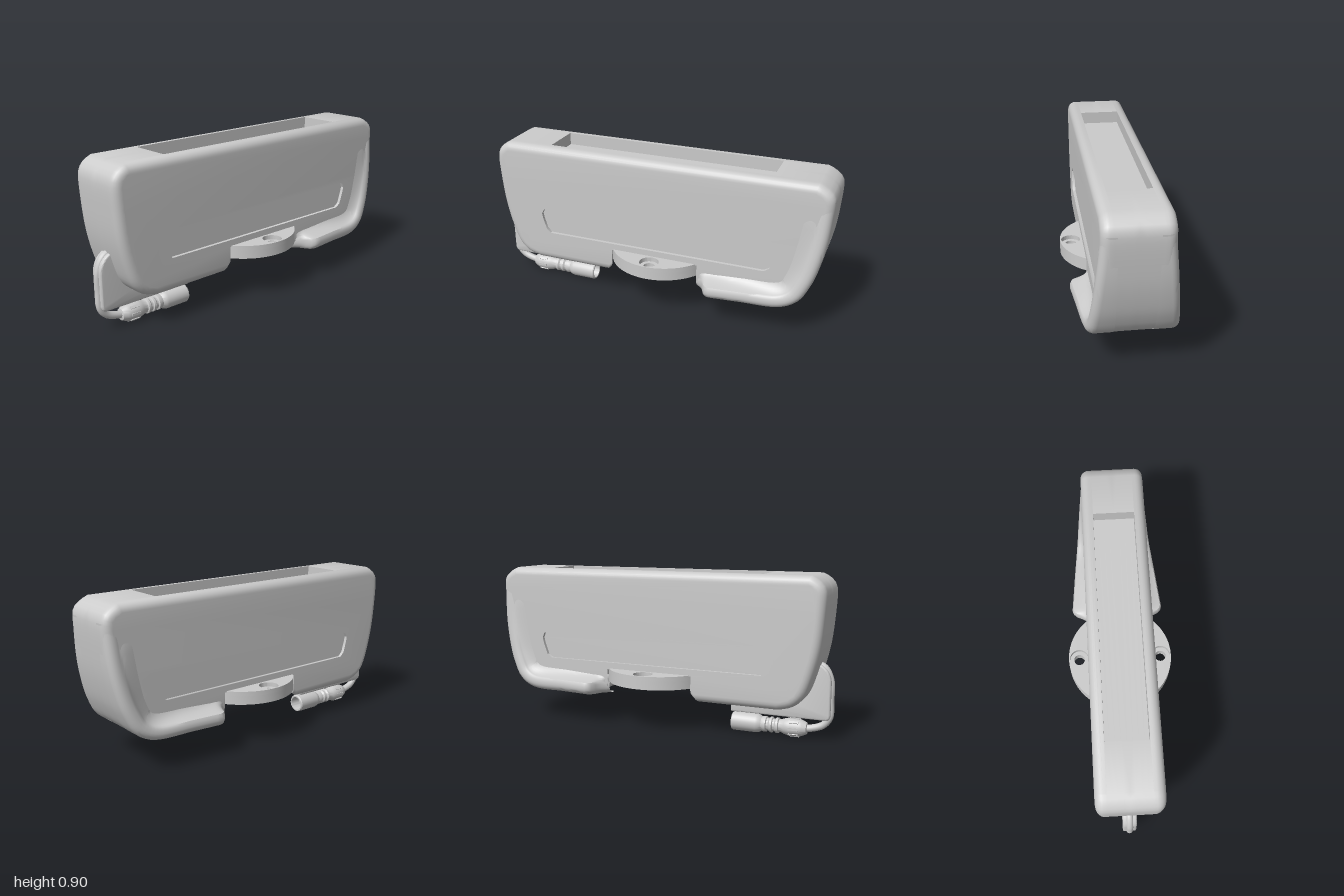
import * as THREE from 'three';
import { toCreasedNormals } from 'three/addons/utils/BufferGeometryUtils.js';

const material = new THREE.MeshStandardMaterial({ color: 0xcccccc, side: THREE.DoubleSide });
const V = (x, y) => new THREE.Vector2(x, y);
const curve = (pts, n) => new THREE.SplineCurve(pts.map(p => V(...p))).getSpacedPoints(n);
const HALF = 0.178, EDGE = 0.045, POCKET = 0.115, MOUNT_Z = -0.02;

// Joins rings of [x, y, z] points into triangles
function loft(out, rings, closed = true) {
  for (let r = 0; r < rings.length - 1; r++) {
    const a = rings[r], b = rings[r + 1], n = a.length;
    for (let i = 0; i < (closed ? n : n - 1); i++) {
      const j = (i + 1) % n;
      out.push(...a[i], ...a[j], ...b[i], ...a[j], ...b[j], ...b[i]);
    }
  }
}

// Fills a (z, y) outline at a constant x, facing +x or -x
function face(out, x, outline, holes = [], dir = 1) {
  const all = [outline, ...holes].flat();
  for (const [a, b, c] of THREE.ShapeUtils.triangulateShape(outline, holes)) {
    const A = all[a], B = all[b], C = all[c];
    const cross = (B.x - A.x) * (C.y - A.y) - (B.y - A.y) * (C.x - A.x);
    for (const p of cross * dir < 0 ? [A, B, C] : [A, C, B]) out.push(x, p.y, p.x);
  }
}

function soupMesh(name, out, crease = 0.6) {
  const g = new THREE.BufferGeometry();
  g.setAttribute('position', new THREE.Float32BufferAttribute(out, 3));
  return mesh(name, toCreasedNormals(g, crease));
}

function mesh(name, geometry) {
  const m = new THREE.Mesh(geometry, material);
  m.name = name;
  return m;
}

const backCurve = [[-0.91, 0.9], [-0.965, 0.87], [-1, 0.81], [-0.985, 0.6], [-0.958, 0.45],
  [-0.92, 0.33], [-0.86, 0.23], [-0.75, 0.18]];
const frontCurve = [[0.73, 0.18], [0.81, 0.203], [0.87, 0.26], [0.91, 0.36], [0.945, 0.5],
  [0.963, 0.65], [0.97, 0.81], [0.94, 0.87], [0.89, 0.9]];
const backPts = curve(backCurve, 30), frontPts = curve(frontCurve, 30);

// Side outline of the housing at a given x, with the round cut for the mount
function outline(x, inset = 0, pocket = false) {
  const h = Math.sqrt(0.315 ** 2 - x * x), c = MOUNT_Z;
  const notch = [V(c - h - 0.02, 0.18), V(c - h, 0.2), V(c - h, 0.325),
    V(c + h, 0.325), V(c + h, 0.2), V(c + h + 0.02, 0.18)];
  const top = pocket ? [V(0.63, 0.9), V(0.63, 0.83), V(-0.67, 0.83), V(-0.67, 0.9)] : [];
  const pts = [...top, ...backPts, ...notch, ...frontPts];
  if (!inset) return pts;
  return pts.map((p, i) => {
    const n = pts.length;
    const t = p.clone().sub(pts[(i + n - 1) % n]).normalize()
      .add(pts[(i + 1) % n].clone().sub(p).normalize()).normalize();
    const normal = notch.includes(p) ? V(0, p.y < 0.21 ? 1 : 0) : V(-t.y, t.x);
    return p.clone().addScaledVector(normal, inset);
  });
}

const at = (x, pts) => pts.map(p => [x, p.y, p.x]);

// One half of the housing: rounded side wall, side recess and half of the top pocket
function housingHalf() {
  const out = [], rings = [];
  for (let k = 6; k >= 0; k--) {
    const a = k / 6 * Math.PI / 2, x = HALF - EDGE + EDGE * Math.sin(a);
    rings.push(at(x, outline(x, EDGE * (1 - Math.cos(a)))));
  }
  rings.push(at(POCKET, outline(POCKET)));
  loft(out, rings);
  loft(out, [POCKET, 0.09, 0.06, 0.03, 0].map(x => at(x, outline(x, 0, true))));
  face(out, POCKET, [V(0.63, 0.9), V(0.63, 0.83), V(-0.67, 0.83), V(-0.67, 0.9)], [], -1);

  const recess = [[0.64, 0.52], [0.675, 0.512], [0.69, 0.485], [0.685, 0.455], [0.665, 0.39], [0.64, 0.365],
    [-0.66, 0.365], [-0.69, 0.385], [-0.715, 0.455], [-0.722, 0.485], [-0.71, 0.512], [-0.68, 0.52]]
    .map(p => V(...p));
  face(out, HALF, outline(HALF, EDGE), [recess]);
  loft(out, [at(HALF - 0.018, recess), at(HALF, recess)]);
  face(out, HALF - 0.018, recess);
  return soupMesh('housingHalf', out);
}

// Flared skirt that follows the back edge and runs forward along the bottom
function skirt() {
  const path = new THREE.SplineCurve([...backCurve.slice(2), [-0.55, 0.18], [-0.38, 0.18]].map(p => V(...p)));
  const stations = [];
  for (let i = 0; i <= 40; i++) {
    const t = i / 40, tan = path.getTangentAt(t);
    stations.push({ p: path.getPointAt(t), n: V(-tan.y, tan.x), w: 0.172 + 0.108 * t, f: 0.03 + 0.12 * (1 - t) });
  }
  for (const [z, w] of [[-0.36, 0.274], [-0.345, 0.258], [-0.332, 0.23], [-0.315, 0.2], [-0.29, 0.18], [-0.275, 0.165]])
    stations.push({ p: V(z, 0.18), n: V(0, 1), w, f: 0.03 });
  const rings = stations.map(({ p, n, w, f }) => {
    const sec = [[0.1, -0.001]], r = 0.04;
    for (let k = 0; k <= 6; k++) {
      const a = k / 6 * Math.PI / 2;
      sec.push([w - r + r * Math.sin(a), r - r * Math.cos(a) - 0.001]);
    }
    const fillet = new THREE.QuadraticBezierCurve(V(w - 0.008, 0.072), V(Math.min(w, 0.185), 0.088), V(0.17, 0.085 + f));
    sec.push([w - 0.001, 0.058], ...fillet.getPoints(8).map(q => [q.x, q.y]));
    return sec.map(([x, d]) => [x, p.y + n.y * d, p.x + n.x * d]);
  });
  const out = [];
  loft(out, rings, false);
  return soupMesh('flaredSkirt', out, 0.8);
}

// Horizontal disc with round holes, between two heights
function drilledDisc(name, radius, y0, y1, holes) {
  const s = new THREE.Shape().absarc(0, 0, radius, 0, Math.PI * 2);
  for (const [x, z, r] of holes) s.holes.push(new THREE.Path().absarc(x, -z, r, 0, Math.PI * 2, true));
  const g = new THREE.ExtrudeGeometry(s, { depth: y1 - y0, bevelEnabled: false, curveSegments: 48 });
  g.rotateX(-Math.PI / 2).translate(0, y0, MOUNT_Z);
  return mesh(name, toCreasedNormals(g, 0.6));
}

function mount() {
  const g = new THREE.Group();
  g.name = 'mount';
  const bolts = r => [[-0.245, 0, r], [0.245, 0, r]];
  g.add(drilledDisc('flangeLower', 0.307, 0.255, 0.305, [...bolts(0.032), [0.165, -0.175, 0.028]]),
    drilledDisc('flangeUpper', 0.307, 0.305, 0.33, bolts(0.055)));
  const boss = new THREE.LatheGeometry([[0, 0.25], [0.132, 0.25], [0.138, 0.236], [0.15, 0.236], [0.155, 0.242],
    [0.155, 0.26]].map(p => V(...p)), 48);
  g.add(mesh('centreBoss', toCreasedNormals(boss.translate(0, 0, MOUNT_Z), 0.5)));
  return g;
}

function cableAssembly() {
  const g = new THREE.Group();
  g.name = 'cableAssembly';

  // Holder plate under and in front of the housing
  const s = new THREE.Shape();
  s.moveTo(-0.43, 0.117);
  s.lineTo(-0.96, 0.117);
  s.quadraticCurveTo(-0.987, 0.117, -0.987, 0.15);
  s.lineTo(-0.987, 0.32);
  s.quadraticCurveTo(-0.985, 0.4, -0.91, 0.43);
  s.lineTo(-0.8, 0.43);
  s.lineTo(-0.8, 0.2);
  s.lineTo(-0.43, 0.2);
  const plate = new THREE.ExtrudeGeometry(s, { depth: 0.06, bevelThickness: 0.009, bevelSize: 0.009,
    bevelOffset: -0.009, bevelSegments: 3 });
  plate.translate(0, 0, -0.03).rotateY(Math.PI / 2);
  g.add(mesh('cableHolder', toCreasedNormals(plate, 0.6)));

  // Cable
  const path = new THREE.CatmullRomCurve3([[0.425, 0.89], [0.4, 0.945], [0.33, 0.978], [0.22, 0.98], [0.13, 0.978],
    [0.085, 0.945], [0.06, 0.88], [0.055, 0.82]].map(([y, z]) => new THREE.Vector3(0, y, z)));
  g.add(mesh('cable', new THREE.TubeGeometry(path, 60, 0.02, 14)));

  // Plug with stepped grip and open socket end, as radius and z
  const prof = [[0.015, 0.862], [0.032, 0.858], [0.043, 0.835], [0.048, 0.82], [0.05, 0.76], [0.044, 0.735]];
  for (let i = 0; i < 3; i++) {
    const z = 0.715 - i * 0.035;
    prof.push([0.036, z], [0.036, z - 0.01], [0.044, z - 0.014], [0.044, z - 0.026]);
  }
  prof.push([0.04, 0.605], [0.05, 0.59], [0.053, 0.575], [0.053, 0.44], [0.049, 0.434], [0.041, 0.434],
    [0.041, 0.5], [0, 0.5]);
  const plug = new THREE.LatheGeometry(prof.map(p => V(...p)), 32).rotateX(Math.PI / 2).translate(0, 0.055, 0);
  g.add(mesh('plug', toCreasedNormals(plug, 0.5)));
  for (let i = 0; i < 8; i++) {
    const a = i / 8 * Math.PI * 2;
    const rib = mesh('gripRib', new THREE.BoxGeometry(0.014, 0.01, 0.055));
    rib.position.set(Math.sin(a) * 0.048, 0.055 + Math.cos(a) * 0.048, 0.79);
    rib.rotation.z = -a;
    g.add(rib);
  }
  return g;
}

export function createModel() {
  const model = new THREE.Group();
  model.name = 'device';
  for (const side of [1, -1]) {
    const half = new THREE.Group();
    half.name = side > 0 ? 'leftHalf' : 'rightHalf';
    half.add(housingHalf(), skirt());
    half.scale.x = side;
    model.add(half);
  }
  model.add(mount(), cableAssembly());
  return model;
}
